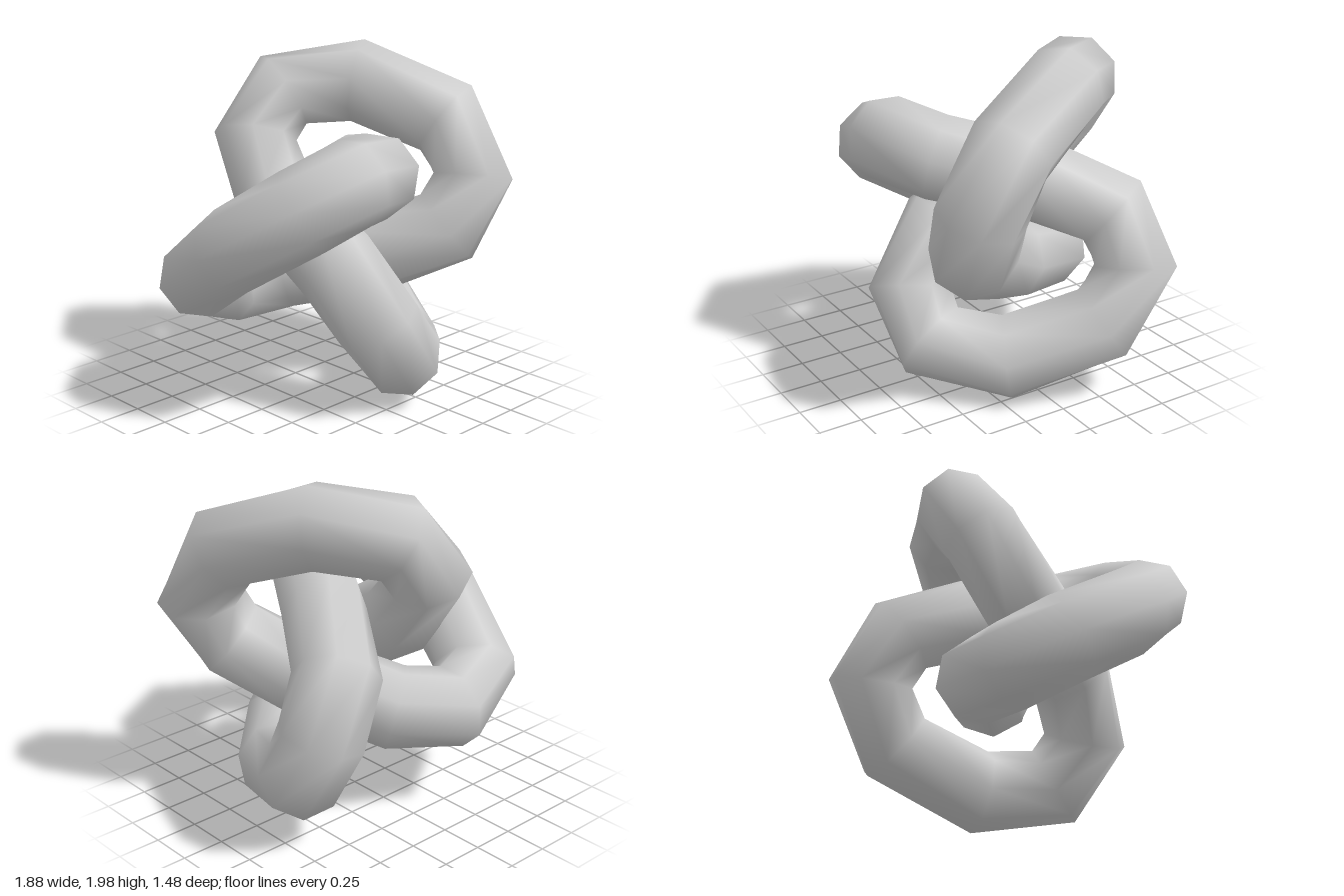
import * as THREE from 'three';

// Three-lobed knot: two turns around z while weaving three times in depth
class KnotCurve extends THREE.Curve {
  getPoint(u, target = new THREE.Vector3()) {
    const t = u * Math.PI * 2;
    const { cos, sin } = Math;
    return target.set(
      0.12 - 0.555 * cos(2 * t) - 0.225 * cos(t) - 0.05 * cos(5 * t),
      1 - 0.555 * sin(2 * t) + 0.225 * sin(t) - 0.05 * sin(5 * t),
      -0.545 * sin(3 * t) - 0.03 * sin(9 * t)
    );
  }

  // Even steps of the angle rather than of the length
  getUtoTmapping(u) {
    return u;
  }
}

export function createModel() {
  const group = new THREE.Group();
  group.name = 'knot';

  // Coarse closed tube with smooth shading
  const tube = new THREE.Mesh(
    new THREE.TubeGeometry(new KnotCurve(), 23, 0.242, 8, true),
    new THREE.MeshStandardMaterial({ color: 0xcccccc })
  );
  tube.name = 'knotTube';
  group.add(tube);

  return group;
}
